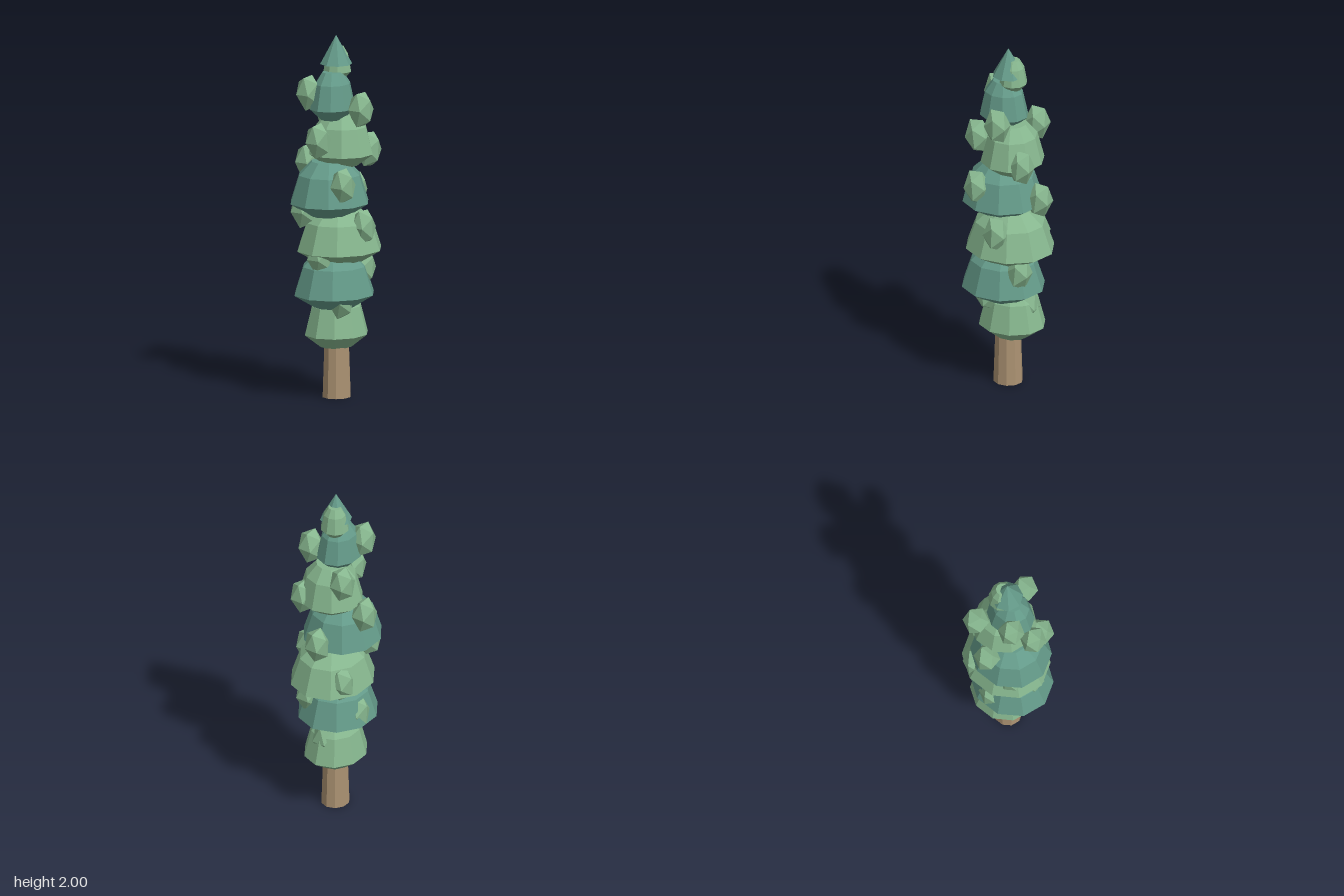
import * as THREE from 'three';

const flat = (geometry) => {
  const g = geometry.index ? geometry.toNonIndexed() : geometry;
  g.computeVertexNormals();
  return g;
};

export function createModel() {
  const tree = new THREE.Group();
  tree.name = 'conifer';

  const material = (name, color) => {
    const m = new THREE.MeshStandardMaterial({ color, flatShading: true });
    m.name = name;
    return m;
  };
  const lightGreen = material('light green', 0x86b68e);
  const darkGreen = material('dark green', 0x649a89);
  const bark = material('bark', 0xab9272);

  const add = (name, geometry, mat, x, y, z, parent = tree) => {
    const mesh = new THREE.Mesh(flat(geometry), mat);
    mesh.name = name;
    mesh.position.set(x, y, z);
    parent.add(mesh);
    return mesh;
  };

  // Trunk, vertices turned onto the x axis
  const trunk = new THREE.CylinderGeometry(0.068, 0.082, 0.4, 10);
  trunk.rotateY(Math.PI / 2);
  trunk.scale(1, 1, 0.95);
  add('trunk', trunk, bark, 0, 0.2, 0.004);

  // Foliage tiers: centre x, z, height of the widest ring, radii in x and z, vertical scale
  const tiers = [
    [0.017, -0.011, 0.345, 0.188, 0.17, 1],
    [-0.027, 0.007, 0.575, 0.233, 0.218, 1],
    [0.015, 0.011, 0.815, 0.25, 0.227, 1],
    [-0.04, -0.015, 1.08, 0.225, 0.217, 1],
    [0.03, 0.012, 1.345, 0.175, 0.182, 0.96],
    [-0.028, -0.003, 1.6, 0.138, 0.118, 0.88],
    [0.025, -0.01, 1.795, 0.076, 0.079, 0.6],
  ];
  // Bell profile of a tier, relative to its widest ring
  const profile = [[0, -0.07], [0.5, -0.07], [1, 0], [0.78, 0.155], [0.45, 0.228], [0, 0.228]]
    .map(([r, y]) => new THREE.Vector2(r, y));
  tiers.forEach(([x, z, y, rx, rz, sy], i) => {
    const g = new THREE.LatheGeometry(profile, 10);
    g.rotateY(Math.PI / 2);
    g.scale(rx, sy, rz);
    add('foliageTier' + (i + 1), g, i % 2 ? darkGreen : lightGreen, x, y, z);
  });

  // Pointed tip
  const tip = new THREE.ConeGeometry(0.088, 0.16, 8);
  add('treeTip', tip, darkGreen, 0, 1.92, 0);

  // Leaf clumps spiralling down around the tiers
  const clumps = new THREE.Group();
  clumps.name = 'leafClumps';
  tree.add(clumps);
  for (let i = 0; i < 16; i++) {
    const angle = THREE.MathUtils.degToRad(222 + 225 * i);
    const r = 0.185 - 0.00095 * (i - 6) ** 2;
    const g = new THREE.IcosahedronGeometry(1, 0);
    g.scale(0.074, 0.108, 0.074);
    const clump = add('leafClump' + (i + 1), g, lightGreen,
      Math.cos(angle) * r, 1.685 - 0.081 * i, Math.sin(angle) * r, clumps);
    clump.rotation.z = -0.12 * Math.cos(angle);
  }
  return tree;
}
